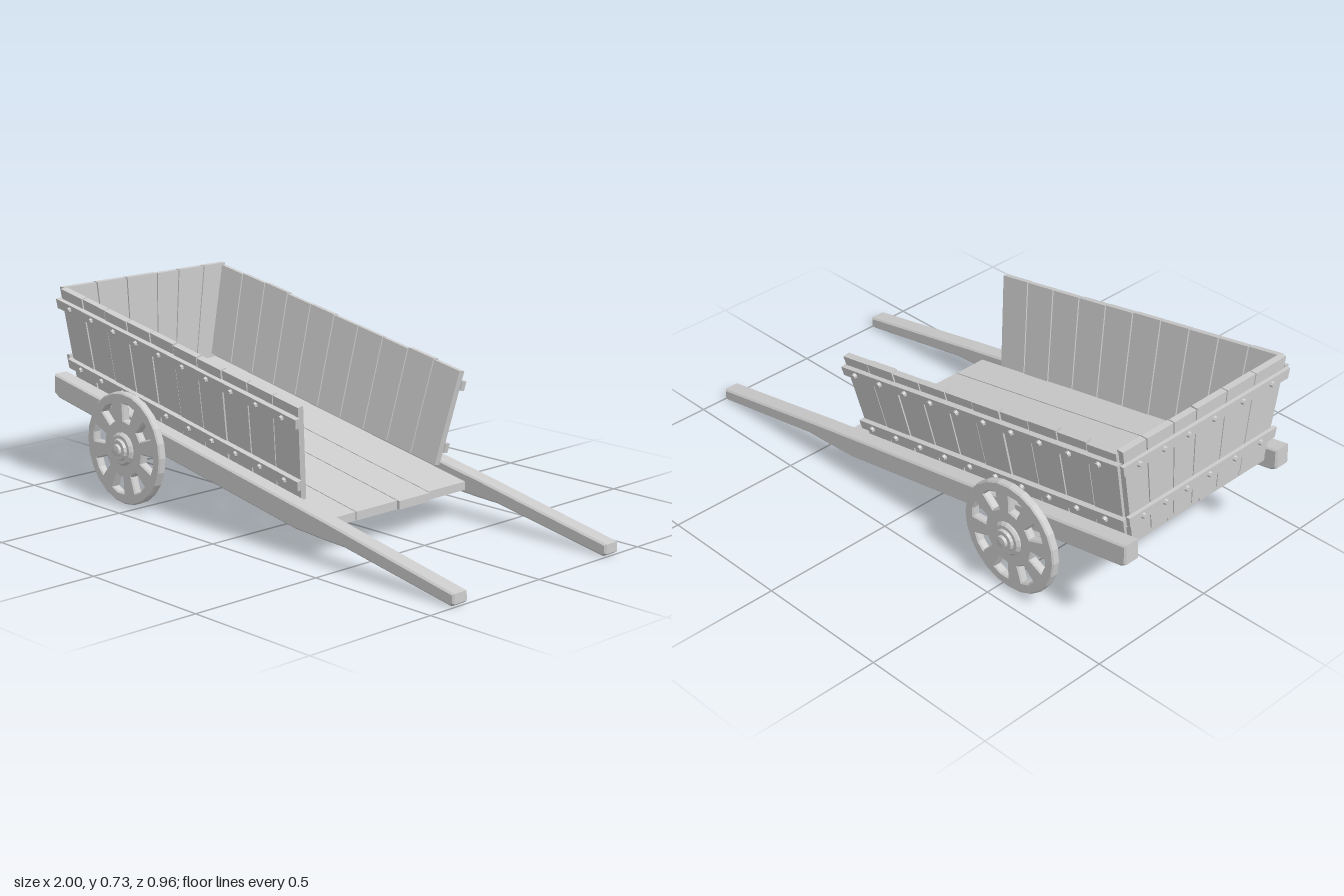
import * as THREE from 'three';

const { lerp } = THREE.MathUtils;
const material = new THREE.MeshStandardMaterial({ color: 0xcccccc, flatShading: true });

// Small seeded noise in -1..1 for uneven plank ends
let seed = 7;
const rand = () => (seed = (seed * 16807) % 2147483647) / 1073741823.5 - 1;

function add(parent, name, geometry) {
  const mesh = new THREE.Mesh(geometry, material);
  mesh.name = name;
  parent.add(mesh);
  return mesh;
}

// A box spanning ranges u, v, w, carried into place by the panel function place(u, v, w)
function block(place, [u0, u1], [v0, v1], [w0, w1]) {
  const geo = new THREE.BoxGeometry(1, 1, 1);
  const pos = geo.attributes.position;
  for (let i = 0; i < pos.count; i++) {
    const p = place(
      lerp(u0, u1, pos.getX(i) + 0.5),
      lerp(v0, v1, pos.getY(i) + 0.5),
      lerp(w0, w1, pos.getZ(i) + 0.5)
    );
    pos.setXYZ(i, p.x, p.y, p.z);
  }
  // Keep faces outward when the panel function mirrors space
  const o = place(u0, v0, w0);
  const a = place(u1, v0, w0).sub(o), b = place(u0, v1, w0).sub(o), c = place(u0, v0, w1).sub(o);
  if (a.cross(b).dot(c) < 0) geo.setIndex(Array.from(geo.index.array).reverse());
  geo.computeVertexNormals();
  return geo;
}

// Bolt head pointing along a panel's outward direction
function bolt(parent, place, u, v, w) {
  const p = place(u, v, w);
  const out = place(u, v, w + 1).sub(p).normalize();
  const mesh = add(parent, 'bolt', new THREE.CylinderGeometry(0.008, 0.012, 0.016, 6));
  mesh.position.copy(p);
  mesh.quaternion.setFromUnitVectors(new THREE.Vector3(0, 1, 0), out);
}

// Leaning side panel, u runs rear to front, v bottom to top, w outward
const sidePlace = (s) => (u, v, w) => new THREE.Vector3(
  lerp(lerp(-0.94, 0.255, u), lerp(-0.945, 0.308, u), v),
  lerp(lerp(0.385, 0.17, u), lerp(0.728, 0.505, u), v) - w * 0.004,
  s * (lerp(0.308, 0.371, v) + w * 0.024)
);

// Upright tailboard, u runs across, w points rearward
const backPlace = (u, v, w) => new THREE.Vector3(
  -0.934 - 0.004 * v - 0.024 * w,
  lerp(0.365, 0.73, v),
  (2 * u - 1) * lerp(0.322, 0.388, v)
);

// Sloping floor, u runs rear to front, w across
const floorPlace = (u, v, w) => new THREE.Vector3(
  lerp(-0.95, 0.38, u),
  lerp(0.343, 0.1, u) + v * 0.03,
  w
);

function sidePanel(s) {
  const group = new THREE.Group();
  group.name = s > 0 ? 'frontSidePanel' : 'rearSidePanel';
  const place = sidePlace(s), count = 10;
  for (let i = 0; i < count; i++) {
    const thick = 1 + 0.1 * rand();
    add(group, 'sidePlank', block(place,
      [i / count + 0.002, (i + 1) / count - 0.002], [0.005 * rand(), 1 + 0.012 * rand()], [0, thick]));
  }
  for (const v of [0.185, 0.85]) {
    add(group, 'sideRail', block(place, [-0.012, 1.003], [v - 0.05, v + 0.05], [0.95, 1.75]));
    for (let i = 0; i < count; i++) bolt(group, place, (i + 0.5) / count, v, 1.85);
  }
  return group;
}

function tailboard() {
  const group = new THREE.Group();
  group.name = 'tailboard';
  const cuts = [-0.388, -0.28, -0.155, -0.05, 0.095, 0.235, 0.388].map((z) => (z / 0.388 + 1) / 2);
  for (let i = 0; i < cuts.length - 1; i++) {
    const u0 = cuts[i] + 0.003, u1 = cuts[i + 1] - 0.003;
    add(group, 'tailPlank', block(backPlace, [u0, u1], [0, 1 + 0.006 * rand()], [0, 1]));
    for (const v of [0.25, 0.83]) bolt(group, backPlace, (u0 + u1) / 2, v, 1.65);
  }
  for (const v of [0.25, 0.83]) {
    add(group, 'tailRail', block(backPlace, [-0.02, 1.02], [v - 0.05, v + 0.05], [0.95, 1.55]));
  }
  return group;
}

function floor() {
  const group = new THREE.Group();
  group.name = 'floor';
  const cuts = [-0.336, -0.147, 0.005, 0.2, 0.336];
  for (let i = 0; i < cuts.length - 1; i++) {
    add(group, 'floorBoard', block(floorPlace,
      [0, 1 + 0.004 * rand()], [0, 1], [cuts[i] + 0.002, cuts[i + 1] - 0.002]));
  }
  return group;
}

// Long beam that narrows into a pulling handle
function beamGeometry() {
  const bevel = 0.006;
  const outline = [
    [-0.992, 0.397], [-0.994, 0.335], [-0.975, 0.323], [0.29, 0.1], [0.42, 0.092], [0.52, 0.088],
    [0.985, 0.006], [0.994, 0.012], [0.993, 0.037], [0.62, 0.108], [0.45, 0.141], [0.3, 0.168]
  ].map(([x, y]) => new THREE.Vector2(x, y));
  const geo = new THREE.ExtrudeGeometry(new THREE.Shape(outline), {
    depth: 0.065 - 2 * bevel, bevelThickness: bevel, bevelSize: bevel, bevelSegments: 1
  });
  return geo.translate(0, 0, -0.0325 + bevel);
}

// Solid wheel with eight cut-out windows and a stepped hub, facing +z
function wheel() {
  const group = new THREE.Group();
  group.name = 'wheel';
  const ring = (r, n) => Array.from({ length: n }, (_, i) =>
    new THREE.Vector2(r * Math.cos(i / n * 2 * Math.PI), r * Math.sin(i / n * 2 * Math.PI)));
  const shape = new THREE.Shape(ring(0.197, 24));
  for (let i = 0; i < 8; i++) {
    const a = i * Math.PI / 4 - 0.2;
    const corner = (r, d) => new THREE.Vector2(r * Math.cos(a + d), r * Math.sin(a + d));
    shape.holes.push(new THREE.Path([
      corner(0.1, -0.2), corner(0.166, -0.22), corner(0.17, 0), corner(0.166, 0.22), corner(0.1, 0.2)
    ]));
  }
  add(group, 'wheelDisc', new THREE.ExtrudeGeometry(shape, {
    depth: 0.022, bevelThickness: 0.005, bevelSize: 0.005, bevelSegments: 1
  }).translate(0, 0, -0.011));
  const hub = [[0, -0.02], [0.045, -0.02], [0.06, -0.012], [0.06, 0.022], [0.052, 0.03], [0.04, 0.03],
    [0.036, 0.04], [0.022, 0.04], [0.02, 0.05], [0, 0.052]].map(([r, y]) => new THREE.Vector2(r, y));
  add(group, 'hub', new THREE.LatheGeometry(hub, 16).rotateX(Math.PI / 2));
  return group;
}

export function createModel() {
  const cart = new THREE.Group();
  cart.name = 'handcart';
  cart.add(floor(), tailboard());

  for (const s of [1, -1]) {
    cart.add(sidePanel(s));
    add(cart, 'beam', beamGeometry()).position.z = s * 0.365;
    add(cart, 'axleBracket', new THREE.BoxGeometry(0.09, 0.06, 0.06)).position.set(-0.54, 0.222, s * 0.365);
    const w = wheel();
    w.position.set(-0.54, 0.215, s * 0.43);
    if (s < 0) w.rotation.y = Math.PI;
    cart.add(w);
  }

  // Axle joining the wheels
  add(cart, 'axle', new THREE.CylinderGeometry(0.021, 0.021, 0.85, 10).rotateX(Math.PI / 2))
    .position.set(-0.54, 0.215, 0);
  return cart;
}
